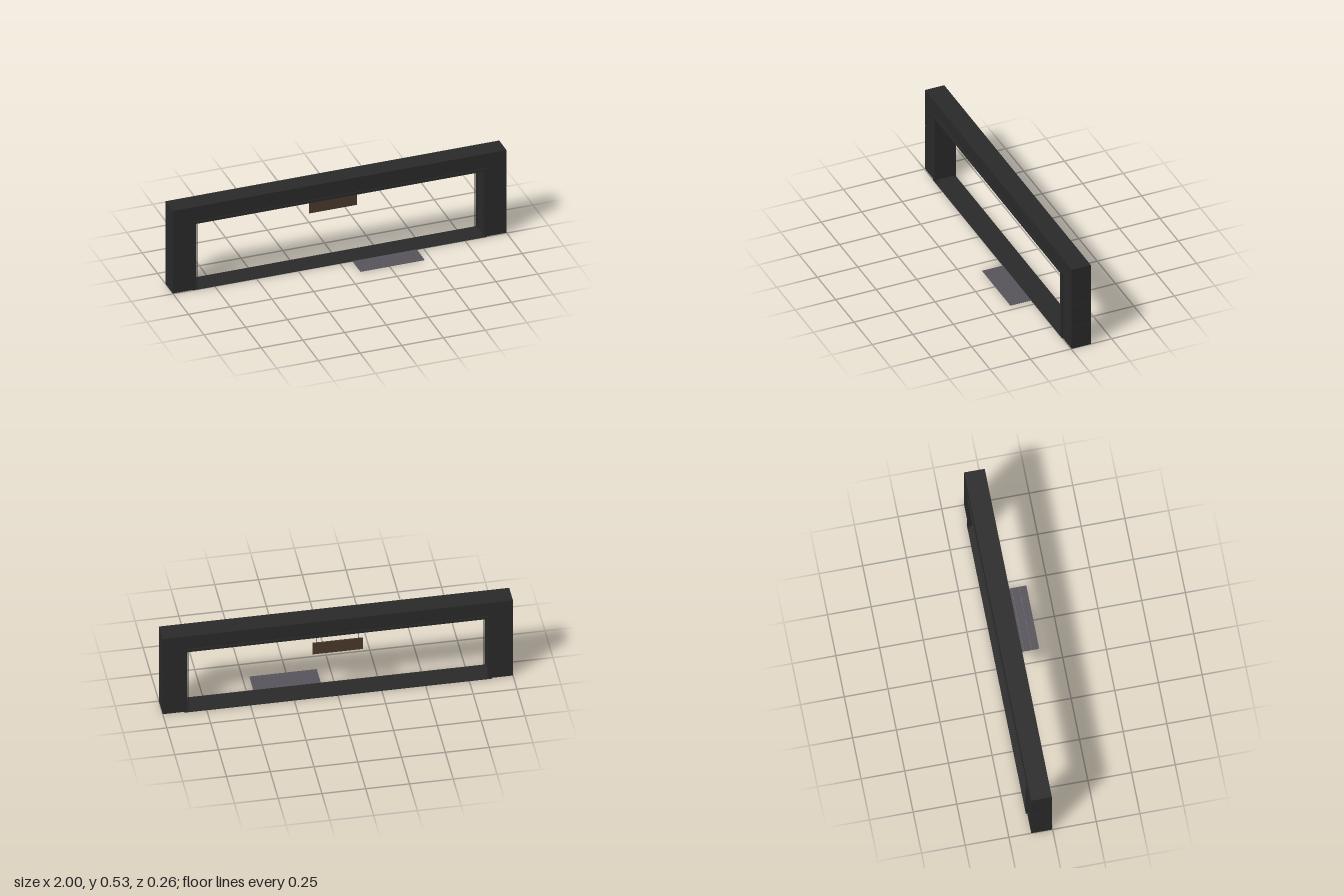
import * as THREE from 'three';

export function createModel() {
  const model = new THREE.Group();
  const mat = (name, color) => {
    const m = new THREE.MeshStandardMaterial({ color });
    m.name = name;
    return m;
  };
  const charcoal = mat('charcoal', 0x292929);
  const wood = mat('signWood', 0x4a382a);
  const soffitWood = mat('soffitWood', 0xa8644a);
  const stone = mat('stepGrey', 0x56535a);

  // Box given by its limits on each axis
  const box = (name, material, [x0, x1], [y0, y1], [z0, z1], parent = model) => {
    const mesh = new THREE.Mesh(new THREE.BoxGeometry(x1 - x0, y1 - y0, z1 - z0), material);
    mesh.position.set((x0 + x1) / 2, (y0 + y1) / 2, (z0 + z1) / 2);
    mesh.name = name;
    parent.add(mesh);
  };
  const span = (s, a, b) => (s > 0 ? [a, b] : [-b, -a]);
  const depth = [-0.122, -0.004];
  const blockH = 0.147;

  // Columns of three stacked blocks around a slightly recessed core
  for (const s of [-1, 1]) {
    const column = new THREE.Group();
    column.name = s > 0 ? 'leftColumn' : 'rightColumn';
    model.add(column);
    for (let i = 0; i < 3; i++) {
      const top = (i + 1) * blockH - (i < 2 ? 0.003 : 0);
      box('columnBlock', charcoal, span(s, 0.868, 1), [i * blockH, top], depth, column);
      if (i < 2) box('columnJoint', charcoal, span(s, 0.87, 0.998), [top, top + 0.003], [-0.12, -0.006], column);
    }
  }

  // Lintel and its timber underside
  box('lintel', charcoal, [-1, 1], [3 * blockH, 0.533], depth);
  box('soffit', soffitWood, [-0.862, 0.862], [0.431, 0.441], [-0.118, -0.008]);

  // Thin trim around the opening on the front and back, with a slim edge bead set off each jamb
  for (const [side, z] of [['front', [-0.008, 0.002]], ['back', [-0.128, -0.118]]]) {
    for (const s of [-1, 1]) {
      box(side + 'JambTrim', charcoal, span(s, 0.863, 0.88), [0, 0.441], z);
      box(side + 'JambBead', charcoal, span(s, 0.855, 0.858), [0, 0.441], z);
    }
    box(side + 'HeadTrim', charcoal, [-0.863, 0.863], [0.425, 0.441], z);
  }

  // Floor sill
  box('sill', charcoal, [-0.88, 0.88], [0, 0.003], [-0.13, 0.002]);

  // Flat step of three slabs in front of the opening
  for (let i = 0; i < 3; i++) {
    const z = 0.002 + i * 0.043;
    box('stepSlab', stone, [0.075, 0.46], [0, 0.002], [z, z + 0.0422]);
  }

  // Hanging sign board on two wires
  box('signBoard', wood, [-0.145, 0.141], [0.297, 0.374], [-0.11, -0.102]);
  for (const x of [-0.123, 0.119]) {
    const wire = new THREE.Mesh(new THREE.CylinderGeometry(0.0015, 0.0015, 0.06, 6), charcoal);
    wire.position.set(x, 0.403, -0.106);
    wire.name = 'signWire';
    model.add(wire);
  }
  return model;
}
